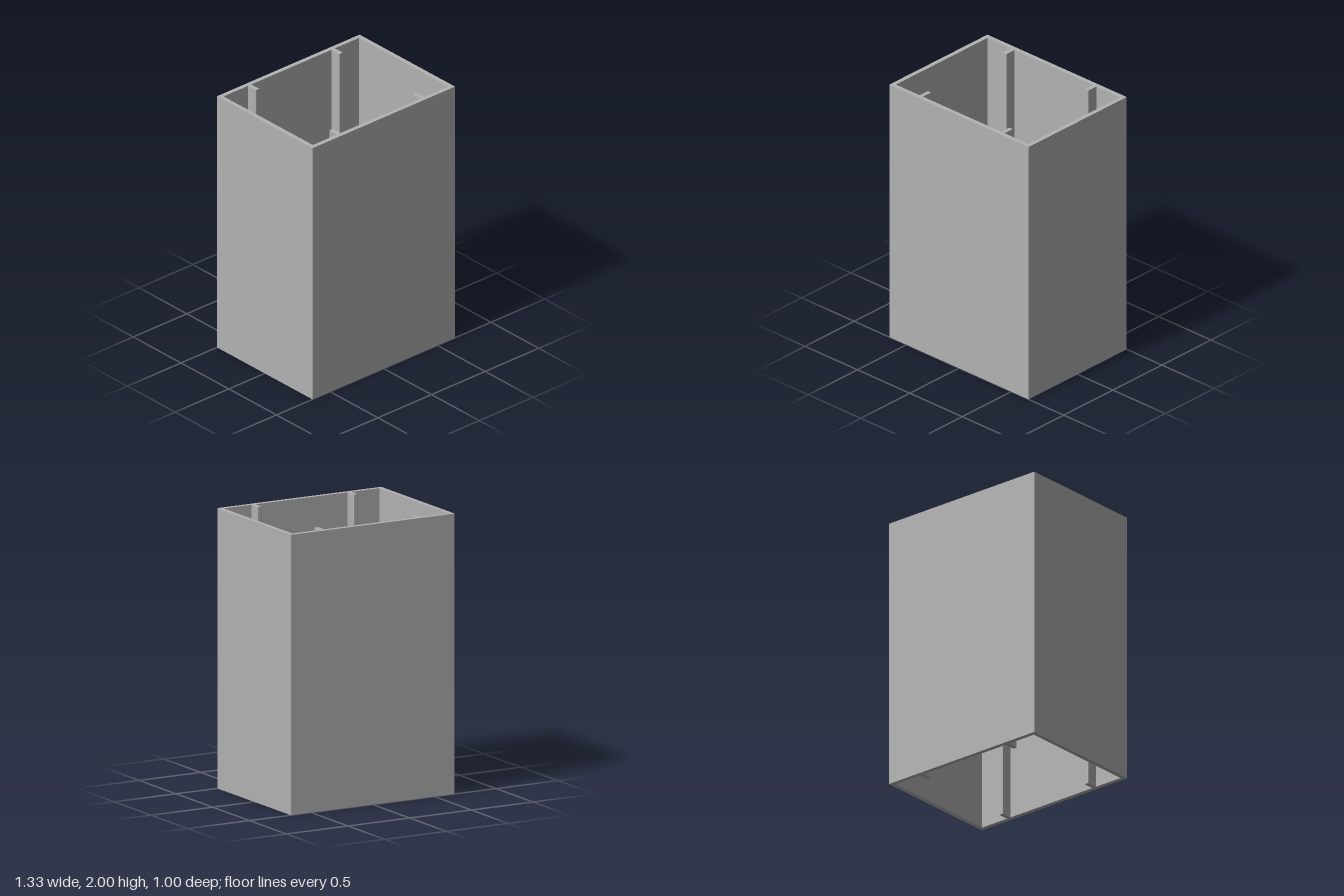
import * as THREE from 'three';

const W = 0.665, D = 0.5, H = 2;       // half width, half depth, height
const WALL = 0.033, R = 0.005;         // wall thickness, corner radius
const RIB_X = 0.39, RIB_HALF = 0.016, RIB_END = 0.384;

// Trace a closed outline; points flagged with a third value get a small rounded corner.
function trace(path, pts) {
  const n = pts.length;
  const toward = (a, b) => {
    const len = Math.hypot(b[0] - a[0], b[1] - a[1]);
    return [a[0] + (b[0] - a[0]) * R / len, a[1] + (b[1] - a[1]) * R / len];
  };
  pts.forEach((p, i) => {
    const start = p[2] ? toward(p, pts[(i + n - 1) % n]) : p;
    if (i === 0) path.moveTo(start[0], start[1]);
    else path.lineTo(start[0], start[1]);
    if (p[2]) path.quadraticCurveTo(p[0], p[1], ...toward(p, pts[(i + 1) % n]));
  });
  path.closePath();
  return path;
}

export function createModel() {
  const group = new THREE.Group();
  group.name = 'ribbedTube';
  const grey = new THREE.MeshStandardMaterial({ color: 0xb2b2b2 });
  grey.name = 'grey';

  // Outer rectangle of the tube
  const section = trace(new THREE.Shape(), [[-W, -D, 1], [W, -D, 1], [W, D, 1], [-W, D, 1]]);

  // Inner opening, notched by two ribs on each long wall
  const iw = W - WALL, id = D - WALL;
  const half = [[-iw, -id]];
  for (const x of [-RIB_X, RIB_X]) {
    half.push([x - RIB_HALF, -id], [x - RIB_HALF, -RIB_END, 1],
      [x + RIB_HALF, -RIB_END, 1], [x + RIB_HALF, -id]);
  }
  half.push([iw, -id]);
  const opposite = half.map(([x, y, r]) => [-x, -y, r]);
  section.holes.push(trace(new THREE.Path(), [...half, ...opposite]));

  // Extrude the section upward
  const geometry = new THREE.ExtrudeGeometry(section, { depth: H, bevelEnabled: false, curveSegments: 3 });
  geometry.rotateX(-Math.PI / 2);
  const tube = new THREE.Mesh(geometry, grey);
  tube.name = 'tubeWallsWithRibs';
  group.add(tube);
  return group;
}
